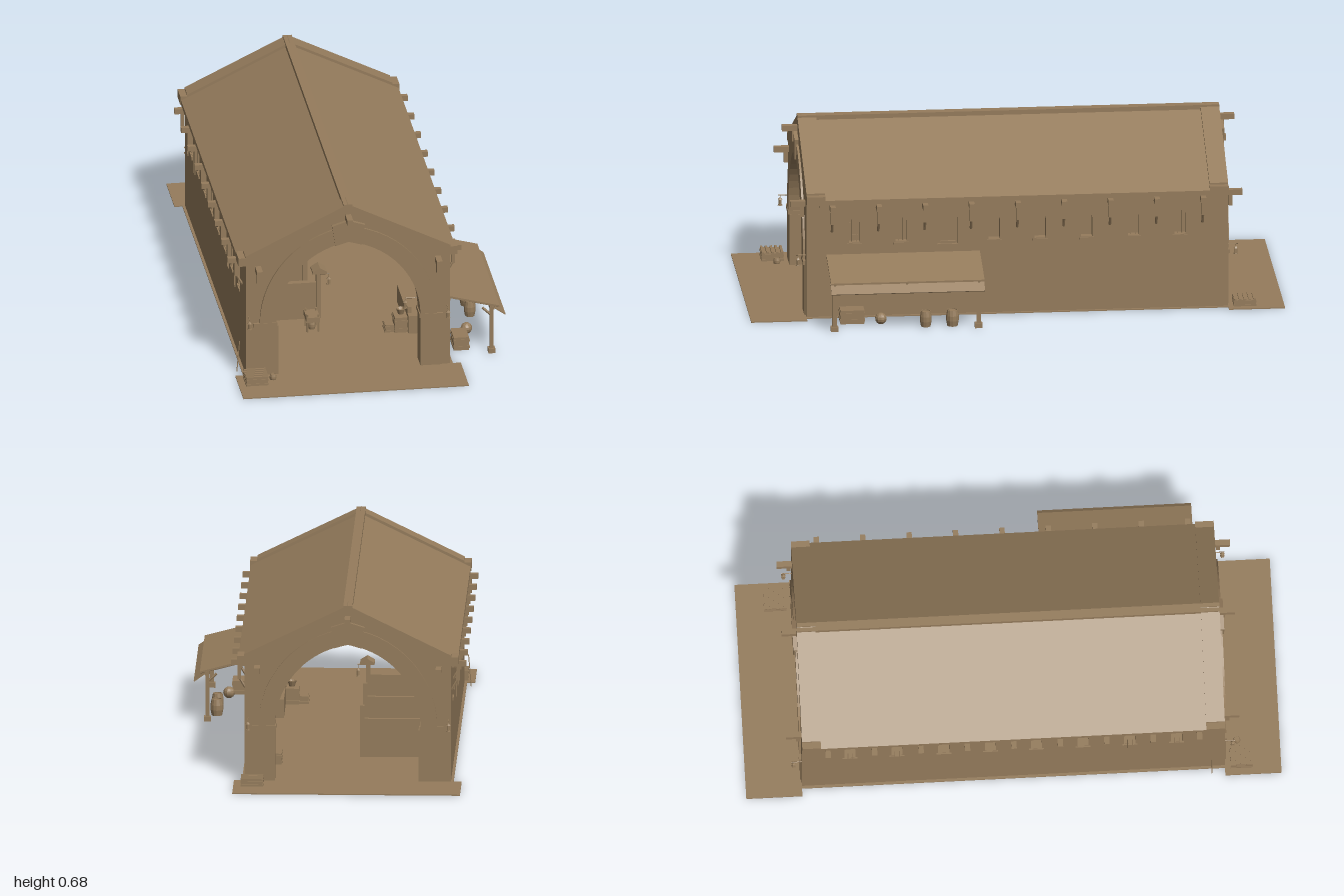
import * as THREE from 'three';

const CX = -0.085, HALF = 0.385; // hall centre line and half width

export function createModel() {
  const model = new THREE.Group();
  model.name = 'marketHall';
  const stone = new THREE.MeshStandardMaterial({ color: 0x957c5c, side: THREE.DoubleSide, flatShading: true });
  stone.name = 'tan stone';

  const add = (name, geo, x = 0, y = 0, z = 0, parent = model) => {
    const m = new THREE.Mesh(geo, stone);
    m.name = name;
    m.position.set(x, y, z);
    parent.add(m);
    return m;
  };
  // Box given by its limits
  const box = (name, x0, x1, y0, y1, z0, z1, parent = model) => add(name,
    new THREE.BoxGeometry(x1 - x0, y1 - y0, z1 - z0), (x0 + x1) / 2, (y0 + y1) / 2, (z0 + z1) / 2, parent);
  const cyl = (name, r0, r1, h, x, y, z, n = 10, parent = model) =>
    add(name, new THREE.CylinderGeometry(r0, r1, h, n), x, y, z, parent);
  const rod = (name, a, b, r) => {
    const A = new THREE.Vector3(...a), B = new THREE.Vector3(...b), d = B.clone().sub(A);
    const m = cyl(name, r, r, d.length(), 0, 0, 0, 6);
    m.position.copy(A).add(B).multiplyScalar(0.5);
    m.quaternion.setFromUnitVectors(new THREE.Vector3(0, 1, 0), d.normalize());
    return m;
  };
  const poly = (pts) => new THREE.Shape(pts.map(p => new THREE.Vector2(...p)));
  const extrude = (shape, depth) => new THREE.ExtrudeGeometry(shape, { depth, bevelEnabled: false });

  // Pointed arch curve from right springing to left springing
  const archPoints = (grow) => {
    const c = 0.046, R = 0.318 + grow, right = [], n = 14;
    const top = Math.acos(c / R);
    for (let i = 0; i <= n; i++) {
      const a = top * i / n;
      right.push([R * Math.cos(a) - c, 0.212 + R * Math.sin(a)]);
    }
    return [...right, ...right.slice(0, -1).reverse().map(([x, y]) => [-x, y])];
  };

  // Ground and floor
  box('frontPaving', -0.51, 0.34, 0, 0.004, 0.79, 1);
  box('backPaving', -0.51, 0.34, 0, 0.004, -1, -0.79);
  box('hallFloor', -0.48, 0.31, 0, 0.004, -0.79, 0.79);

  // Gable walls with arch, ring, keystone and beam ends
  for (const s of [1, -1]) {
    const end = new THREE.Group();
    end.name = s > 0 ? 'frontGable' : 'backGable';
    end.position.x = CX;
    model.add(end);
    const inner = archPoints(0), outer = archPoints(0.062);
    const zAt = (a, d) => s > 0 ? a : -a - d;
    add('gableWall', extrude(poly([[0.272, 0], [HALF, 0], [HALF, 0.485], [0, 0.675], [-HALF, 0.485],
      [-HALF, 0], [-0.272, 0], ...[...inner].reverse()]), 0.07), 0, 0, zAt(0.72, 0.07), end);
    add('archRing', extrude(poly([...outer, ...[...inner].reverse()]), 0.012), 0, 0, zAt(0.786, 0.012), end);
    add('keystone', extrude(poly([[-0.05, 0.515], [0, 0.53], [0.05, 0.515], [0.062, 0.595], [0, 0.615], [-0.062, 0.595]]),
      0.02), 0, 0, zAt(0.785, 0.02), end);
    for (const m of [1, -1]) {
      const [a, b] = m > 0 ? [0.268, 0.357] : [-0.357, -0.268];
      box('impost', a, b, 0.2, 0.215, Math.min(s * 0.71, s * 0.8), Math.max(s * 0.71, s * 0.8), end);
      box('pierFace', a + m * 0.004, b - m * 0.004, 0, 0.2, Math.min(s * 0.72, s * 0.795), Math.max(s * 0.72, s * 0.795), end);
      // Kneeler at the gable foot
      box('kneeler', m > 0 ? 0.375 : -0.413, m > 0 ? 0.413 : -0.375, 0.447, 0.48,
        Math.min(s * 0.72, s * 0.79), Math.max(s * 0.72, s * 0.79), end);
    }
    for (const [x, y] of [[-0.34, 0.425], [0, 0.615], [0.338, 0.425]]) {
      add('beamEnd', new THREE.BoxGeometry(0.022, 0.021, 0.07), x, y + 0.01, s * 0.812, end);
      add('beamPost', new THREE.BoxGeometry(0.013, 0.045, 0.015), x, y - 0.02, s * 0.802, end);
    }
  }

  // Side walls with arched windows
  const archHole = (z, w, y0, y1) => {
    const p = new THREE.Path(), r = w / 2;
    p.moveTo(z - r, y0);
    p.lineTo(z + r, y0);
    p.lineTo(z + r, y1 - r);
    p.absarc(z, y1 - r, r, 0, Math.PI, false);
    p.lineTo(z - r, y0);
    return p;
  };
  const windows = [0.61, 0.435, 0.26, 0.086, -0.086, -0.26, -0.435, -0.61];
  for (const m of [1, -1]) {
    const outerX = CX + m * HALF;
    const side = m > 0 ? 'right' : 'left';
    const wall = poly([[-0.73, 0], [0.73, 0], [0.73, 0.475], [-0.73, 0.475]]);
    for (const z of windows) {
      const blind = z === 0.26 && m > 0;
      wall.holes.push(blind ? archHole(z, 0.076, 0.275, 0.41) : archHole(z, 0.042, 0.29, 0.385));
      if (blind) box('blindPanel', outerX - 0.028, outerX - 0.015, 0.27, 0.415, 0.215, 0.305);
      box('windowSill', outerX - 0.005, outerX + 0.005, 0.279, 0.288, z - 0.028, z + 0.028);
      if (Math.abs(z) > 0.4) for (const d of [-0.009, 0.009])
        box('windowBar', outerX - 0.018, outerX - 0.014, 0.29, 0.38, z + d - 0.0015, z + d + 0.0015);
    }
    const geo = extrude(wall, 0.03).rotateY(-Math.PI / 2);
    add(side + 'Wall', geo, m > 0 ? outerX : outerX + 0.03, 0, 0);
    box(side + 'Cornice', outerX - 0.01, outerX + 0.012, 0.43, 0.447, -0.74, 0.74);

    // Eaves beams on braced wall posts
    for (let i = -4; i <= 4; i++) {
      const z = i * 0.1735;
      add('eavesBeam', new THREE.BoxGeometry(0.065, 0.02, 0.02), outerX + m * 0.022, 0.435, z);
      add('eavesHanger', new THREE.BoxGeometry(0.013, 0.055, 0.013), outerX + m * 0.024, 0.398, z);
      rod('eavesBrace', [outerX + m * 0.026, 0.38, z], [outerX, 0.335, z], 0.005);
    }
  }

  // Roof slabs, raised copings, ridge cap and vault
  const roofShape = (w, top, t, k) => poly([[0, top], [w, top - w * k], [w, top - w * k - t],
    [0, top - t], [-w, top - w * k - t], [-w, top - w * k]]);
  add('roof', extrude(roofShape(0.41, 0.665, 0.018, 0.49), 1.44), CX, 0, -0.72);
  for (const z of [-0.79, 0.72]) add('gableCoping', extrude(roofShape(0.387, 0.676, 0.02, 0.49), 0.07), CX, 0, z);
  box('ridgeCap', CX - 0.017, CX + 0.017, 0.658, 0.675, -0.79, 0.79);
  const vault = new THREE.CylinderGeometry(1, 1, 1.44, 28, 1, true, Math.PI / 2, Math.PI);
  vault.rotateX(Math.PI / 2);
  vault.scale(0.36, 0.155, 1);
  add('vault', vault, CX, 0.41, 0);

  // Lanterns
  const lantern = (x, y, z) => {
    const g = new THREE.Group();
    g.name = 'lantern';
    g.position.set(x, y, z);
    model.add(g);
    cyl('lanternBase', 0.008, 0.009, 0.004, 0, 0.002, 0, 6, g);
    cyl('lanternGlass', 0.006, 0.006, 0.02, 0, 0.013, 0, 6, g);
    cyl('lanternCap', 0.002, 0.009, 0.008, 0, 0.027, 0, 6, g);
    cyl('lanternHook', 0.001, 0.001, 0.012, 0, 0.036, 0, 5, g);
  };
  for (const z of [-0.82, 0.82]) for (const x of [-0.461, 0.288]) {
    lantern(x, 0.203, z);
    rod('lanternArm', [x, 0.243, z * 0.96], [x, 0.243, z * 1.01], 0.002);
  }
  lantern(0.158, 0.155, 0.6);
  rod('lanternArm', [0.158, 0.195, 0.6], [0.27, 0.195, 0.6], 0.002);

  // Slatted crates, barrels and sacks
  const crate = (x, y, z, w, h, d) => {
    box('crate', x - w / 2, x + w / 2, y, y + h, z - d / 2, z + d / 2);
    for (const k of [0.25, 0.75]) box('crateBand', x - w / 2 - 0.002, x + w / 2 + 0.002,
      y + h * k - 0.004, y + h * k + 0.004, z - d / 2 - 0.002, z + d / 2 + 0.002);
  };
  const barrel = (x, y, z, r, h) => add('barrel', new THREE.LatheGeometry(
    [[0, 0], [0.82, 0], [1, 0.35], [1, 0.65], [0.82, 1], [0.72, 1], [0.72, 0.94], [0, 0.94]]
      .map(([a, b]) => new THREE.Vector2(a * r, b * h)), 12), x, y, z);

  // Produce trays beside the end arches
  for (const [x, z, h] of [[-0.442, 0.853, 0.04], [0.27, -0.853, 0.032]]) {
    crate(x, 0, z, 0.08, h * 0.85, 0.08);
    for (let i = 0; i < 5; i++) box('traySlat', x - 0.042, x + 0.042, h * 0.85, h,
      z - 0.04 + i * 0.018, z - 0.031 + i * 0.018);
  }
  barrel(-0.375, 0, 0.84, 0.013, 0.025);
  rod('leaningPole', [-0.497, 0, 0.74], [-0.487, 0.122, 0.74], 0.002);

  // Stalls along the left inner wall
  for (const z of [0.3, -0.05, -0.4]) {
    box('stallPartition', -0.445, -0.13, 0, 0.15, z - 0.008, z + 0.008);
    box('stallPost', -0.135, -0.118, 0, 0.2, z - 0.009, z + 0.009);
  }
  box('stallFront', -0.132, -0.122, 0, 0.07, -0.4, -0.05);
  add('stallHood', extrude(poly([[-0.027, 0.192], [0.027, 0.192], [0.027, 0.2], [0, 0.216], [-0.027, 0.2]]), 0.06), -0.124, 0, 0.27);
  rod('hoodArm', [-0.125, 0.185, 0.31], [-0.086, 0.185, 0.31], 0.003);
  lantern(-0.088, 0.14, 0.31);
  box('trough', -0.19, -0.14, 0.045, 0.065, 0.36, 0.44);
  for (const x of [-0.185, -0.145]) for (const z of [0.37, 0.43]) rod('troughLeg', [x, 0, z], [x, 0.075, z], 0.004);
  barrel(-0.165, 0.004, 0.4, 0.014, 0.03);

  // Goods and a plank door on the right inner side
  crate(0.117, 0, 0.45, 0.032, 0.033, 0.05);
  crate(0.16, 0, 0.45, 0.048, 0.064, 0.07);
  box('counter', 0.185, 0.268, 0, 0.075, 0.2, 0.5);
  add('bowl', new THREE.LatheGeometry([[0, 0], [0.01, 0], [0.018, 0.022], [0.015, 0.022], [0, 0.006]]
    .map(p => new THREE.Vector2(...p)), 12), 0.163, 0.066, 0.45);
  box('counterScale', 0.185, 0.2, 0.075, 0.1, 0.42, 0.47);
  for (const [x, z] of [[-0.436, 0.58], [0.266, -0.58]]) {
    box('plankDoor', x - 0.004, x + 0.004, 0, 0.17, z - 0.05, z + 0.05);
    for (const y of [0.03, 0.08, 0.13]) box('doorBand', x - 0.007, x + 0.007, y, y + 0.009, z - 0.05, z + 0.05);
  }
  crate(0.2, 0, -0.5, 0.06, 0.045, 0.08);

  // Lean-to on the right side
  const cover = add('leanToRoof', extrude(poly([[0.3, 0.238], [0.3, 0.246], [0.497, 0.194], [0.497, 0.187]]), 0.575), 0, 0, 0.14);
  cover.name = 'leanToRoof';
  add('leanToFlap', extrude(poly([[0.455, 0.199], [0.457, 0.202], [0.52, 0.158], [0.518, 0.155]]), 0.575), 0, 0, 0.14);
  box('leanToBeam', 0.461, 0.477, 0.178, 0.192, 0.14, 0.715);
  box('wallRail', 0.3, 0.312, 0.226, 0.24, 0.14, 0.715);
  for (const z of [0.7, 0.16]) {
    box('leanToPost', 0.462, 0.476, 0, 0.185, z - 0.008, z + 0.008);
    box('postFoot', 0.456, 0.482, 0, 0.018, z - 0.014, z + 0.014);
    rod('postBrace', [0.469, 0.15, z], [0.435, 0.182, z], 0.005);
  }
  for (const z of [0.16, 0.43, 0.7]) rod('rafter', [0.305, 0.236, z], [0.495, 0.186, z], 0.005);

  // Goods beneath the lean-to
  crate(0.36, 0, 0.625, 0.058, 0.052, 0.09);
  barrel(0.437, 0, 0.355, 0.022, 0.06);
  barrel(0.437, 0, 0.255, 0.024, 0.062);
  add('sack', new THREE.SphereGeometry(0.022, 10, 8), 0.4, 0.023, 0.52);
  for (const z of [0.595, 0.47]) cyl('wallDisc', 0.016, 0.016, 0.008, 0.304, 0.12, z, 12).rotation.z = Math.PI / 2;
  box('wallBoard', 0.3, 0.307, 0.075, 0.13, 0.37, 0.4);
  return model;
}
